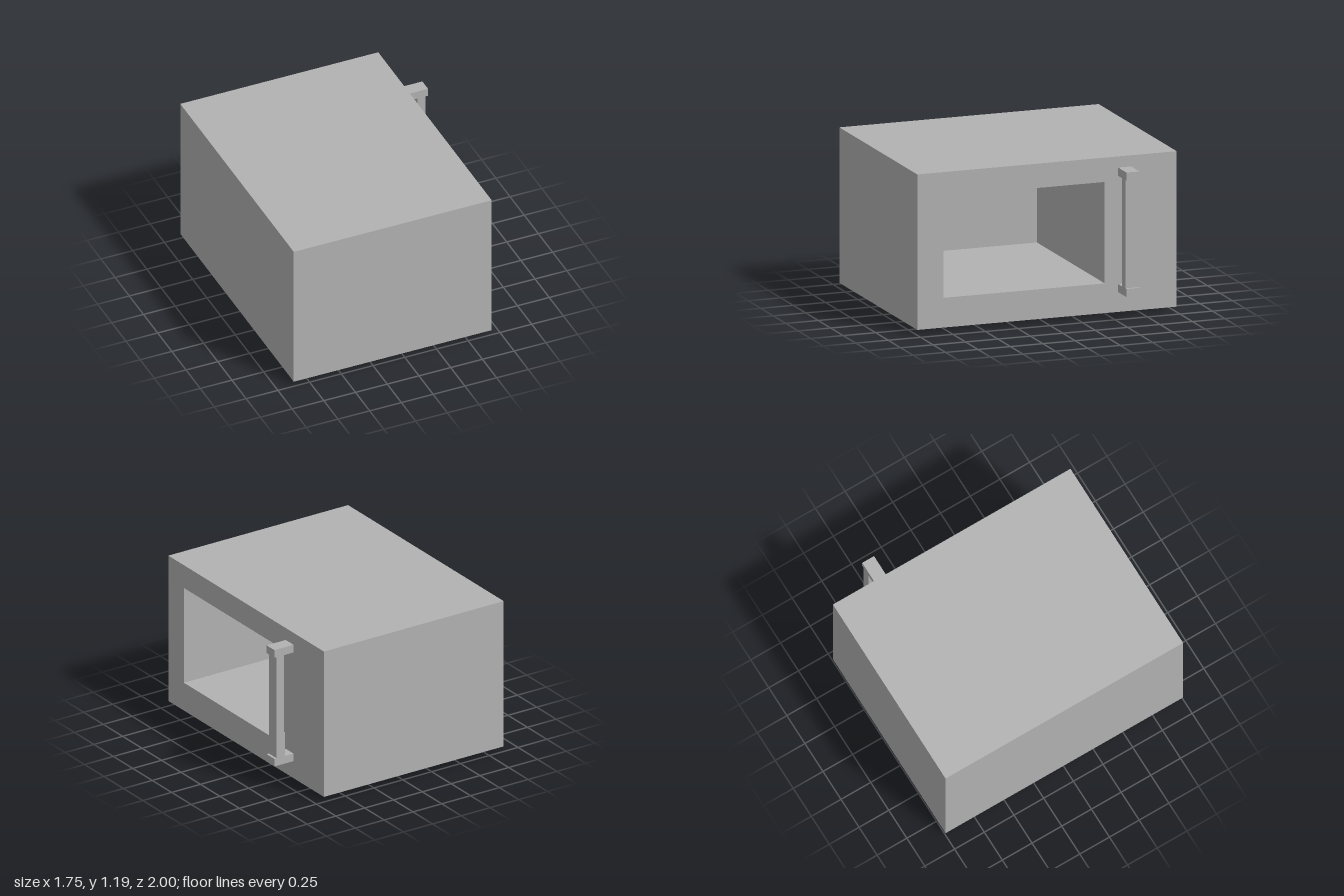
import * as THREE from 'three';

const grey = new THREE.MeshStandardMaterial({ color: 0xb2b2b2 });
grey.name = 'plain grey';

function part(name, geometry) {
  const mesh = new THREE.Mesh(geometry, grey);
  mesh.name = name;
  return mesh;
}

// Box given by its lower and upper corners
function block(name, [x0, y0, z0], [x1, y1, z1]) {
  const g = new THREE.BoxGeometry(x1 - x0, y1 - y0, z1 - z0);
  g.translate((x0 + x1) / 2, (y0 + y1) / 2, (z0 + z1) / 2);
  return part(name, g);
}

function rectangle(Type, x0, y0, x1, y1) {
  return new Type().moveTo(x0, y0).lineTo(x1, y0).lineTo(x1, y1).lineTo(x0, y1).closePath();
}

export function createModel() {
  const group = new THREE.Group();
  group.name = 'oven';
  const back = -0.875, front = 0.685, cavityEnd = -0.67;

  // Casing: a rectangle with the oven opening, extruded along x (shape x is -z)
  const outline = rectangle(THREE.Shape, -1, 0.04, 1, 1.19);
  outline.holes.push(rectangle(THREE.Path, -0.8, 0.26, 0.445, 1.01));
  const casing = new THREE.ExtrudeGeometry(outline, { depth: front - cavityEnd, bevelEnabled: false });
  casing.rotateY(Math.PI / 2).translate(cavityEnd, 0, 0);
  group.add(part('casing', casing));

  // Closed wall behind the cavity
  group.add(block('backWall', [back, 0.04, -1], [cavityEnd, 1.19, 1]));

  // Plinth under the casing
  group.add(block('base', [-0.77, 0, -0.805], [0.485, 0.04, 0.805]));

  // Handle: upright bar with a slight step, between two end blocks
  const handle = new THREE.Group();
  handle.name = 'handle';
  handle.add(block('handleTop', [0.706, 1.052, -0.64], [0.872, 1.113, -0.54]));
  handle.add(block('handleBottom', [0.706, 0.192, -0.64], [0.872, 0.252, -0.54]));
  const bar = new THREE.Shape([
    [0.781, 0.252], [0.852, 0.252], [0.852, 1.052], [0.787, 1.052], [0.787, 0.44], [0.781, 0.44],
  ].map(([x, y]) => new THREE.Vector2(x, y)));
  const barGeometry = new THREE.ExtrudeGeometry(bar, { depth: 0.1, bevelEnabled: false });
  barGeometry.translate(0, 0, -0.64);
  handle.add(part('handleBar', barGeometry));
  group.add(handle);

  return group;
}
